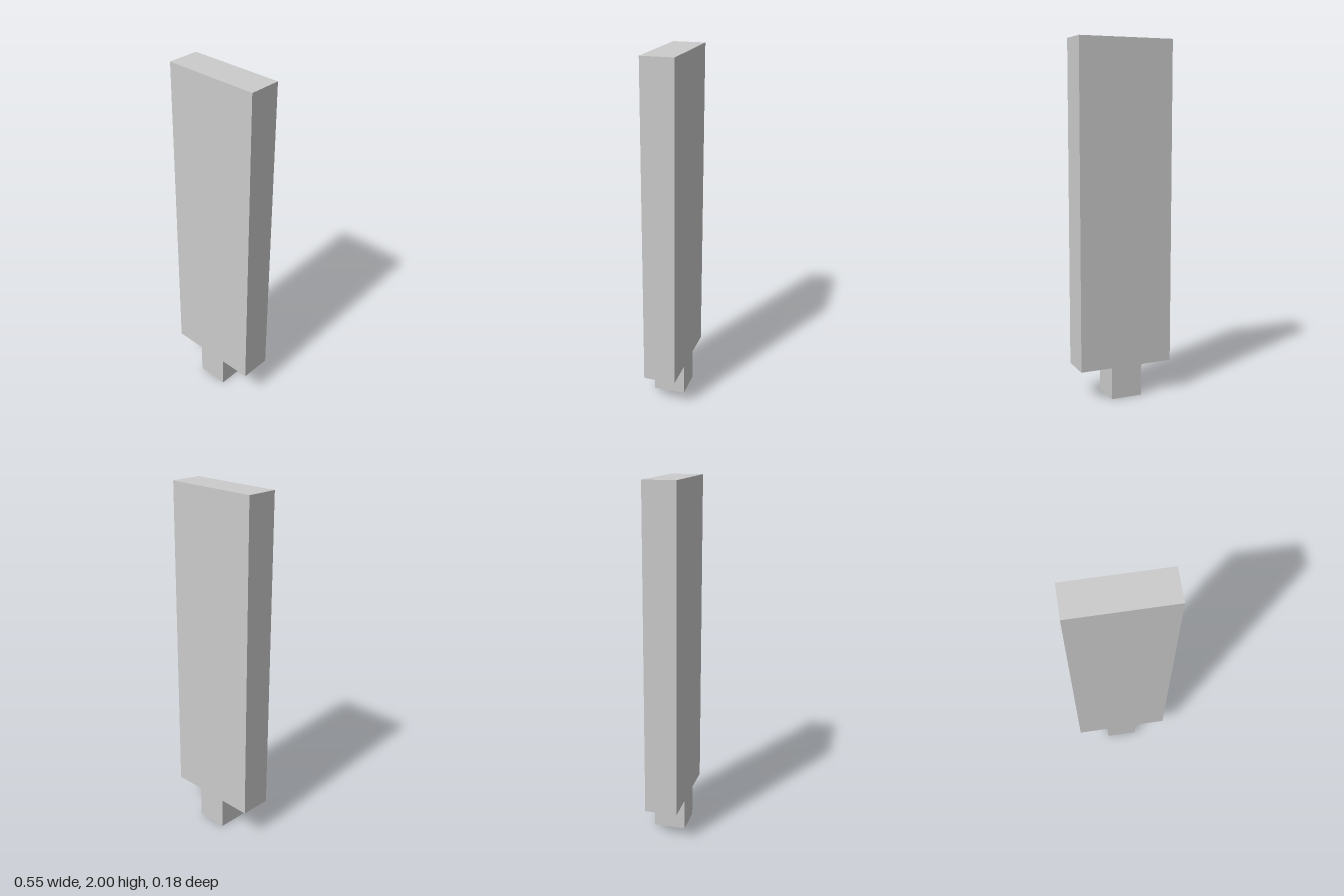
import * as THREE from 'three';

export function createModel() {
  const group = new THREE.Group();
  const unit = 2 / 11; // tab is one unit cubed, slab is 3 x 10 x 1 units

  // Outline of the slab with the narrow tab centred below it
  const half = [[0.5, 0], [0.5, 1], [1.5, 1], [1.5, 11]];
  const mirrored = half.map(([x, y]) => [-x, y]).reverse();
  const outline = [...half, ...mirrored].map(([x, y]) => new THREE.Vector2(x * unit, y * unit));

  const geometry = new THREE.ExtrudeGeometry(new THREE.Shape(outline), {
    depth: unit,
    bevelEnabled: false,
  });
  geometry.translate(0, 0, -unit / 2);

  const slab = new THREE.Mesh(
    geometry,
    new THREE.MeshStandardMaterial({ color: 0xcccccc, flatShading: true })
  );
  slab.name = 'slabWithTab';
  group.add(slab);
  return group;
}
